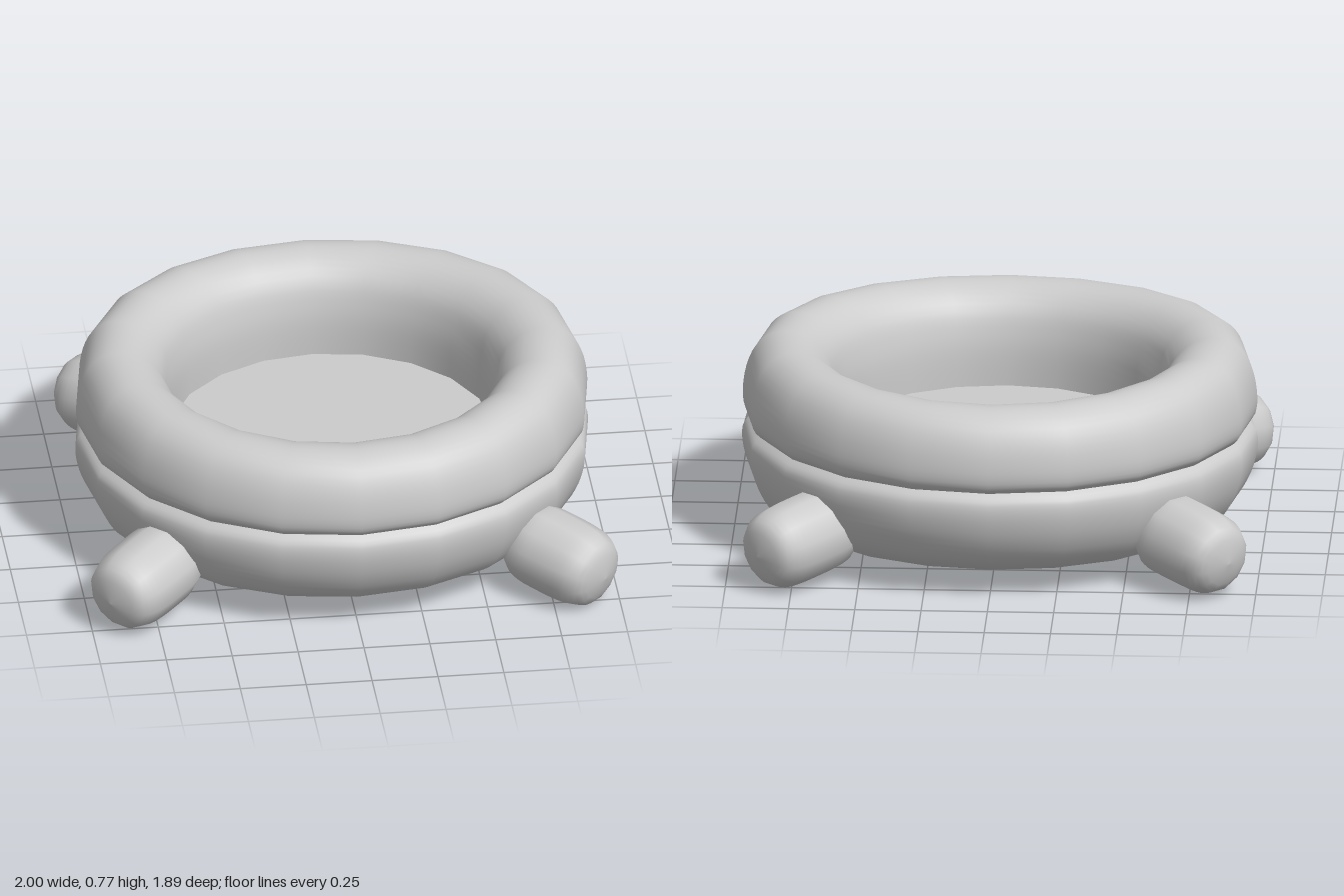
import * as THREE from 'three';

const vinyl = new THREE.MeshStandardMaterial({ color: 0xcccccc });
vinyl.name = 'grey vinyl';

const SEAM = 0.437; // height where the two tubes meet

// Smooth lathe from a few [radius, height] points
function turned(name, points, steps, sides) {
  const curve = new THREE.SplineCurve(points.map(([r, y]) => new THREE.Vector2(r, y)));
  const profile = curve.getPoints(steps).map(p => new THREE.Vector2(Math.max(p.x, 0), p.y));
  const mesh = new THREE.Mesh(new THREE.LatheGeometry(profile, sides), vinyl);
  mesh.name = name;
  return mesh;
}

// Slight oval, with the rims bent gently like a saddle and the seam kept level
function bend(mesh, amount) {
  const pos = mesh.geometry.attributes.position;
  for (let i = 0; i < pos.count; i++) {
    const x = pos.getX(i), y = pos.getY(i), z = pos.getZ(i);
    const weight = Math.min(Math.abs(y - SEAM) / 0.3, 1);
    pos.setXYZ(i, x, y + amount * weight * (x * x - z * z), z * 0.97);
  }
  return mesh;
}

export function createModel() {
  const pool = new THREE.Group();
  pool.name = 'inflatablePool';

  // Lower tube, running into a flat underside
  pool.add(bend(turned('lowerTube', [
    [0, 0.075], [0.4, 0.072], [0.7, 0.068], [0.8, 0.088], [0.885, 0.145], [0.942, 0.235],
    [0.97, 0.33], [0.968, 0.4], [0.935, SEAM],
  ], 28, 20), -0.012));

  // Upper tube, running over the rim and down the inner wall
  pool.add(bend(turned('upperTube', [
    [0.935, SEAM], [0.962, 0.468], [0.97, 0.53], [0.956, 0.62], [0.92, 0.695], [0.86, 0.742],
    [0.785, 0.752], [0.71, 0.725], [0.65, 0.66], [0.622, 0.57], [0.612, 0.48], [0.612, 0.36],
  ], 33, 20), 0.022));

  // Pool floor
  pool.add(bend(turned('floor', [[0.615, 0.368], [0.3, 0.368], [0, 0.368]], 4, 20), 0));

  // Four stubby feet, pointing out and a little down
  const up = new THREE.Vector3(0, 1, 0);
  const feet = [
    ['frontLeftFoot', 0.94, 0.135, 0.825], ['frontRightFoot', -0.94, 0.15, 0.815],
    ['backLeftFoot', 0.875, 0.148, -0.84], ['backRightFoot', -0.905, 0.15, -0.84],
  ];
  for (const [name, x, y, z] of feet) {
    const foot = turned(name, [
      [0, 0], [0.09, 0.01], [0.138, 0.05], [0.157, 0.11], [0.16, 0.18], [0.159, 0.27],
      [0.15, 0.34], [0.12, 0.395], [0.06, 0.42], [0, 0.43],
    ], 24, 12);
    const tip = new THREE.Vector3(x, y, z);
    const axis = new THREE.Vector3(Math.sign(x) * 0.71, -0.13, Math.sign(z) * 0.69).normalize();
    foot.quaternion.setFromUnitVectors(up, axis);
    foot.position.copy(tip).addScaledVector(axis, -0.43);
    pool.add(foot);
  }
  return pool;
}
